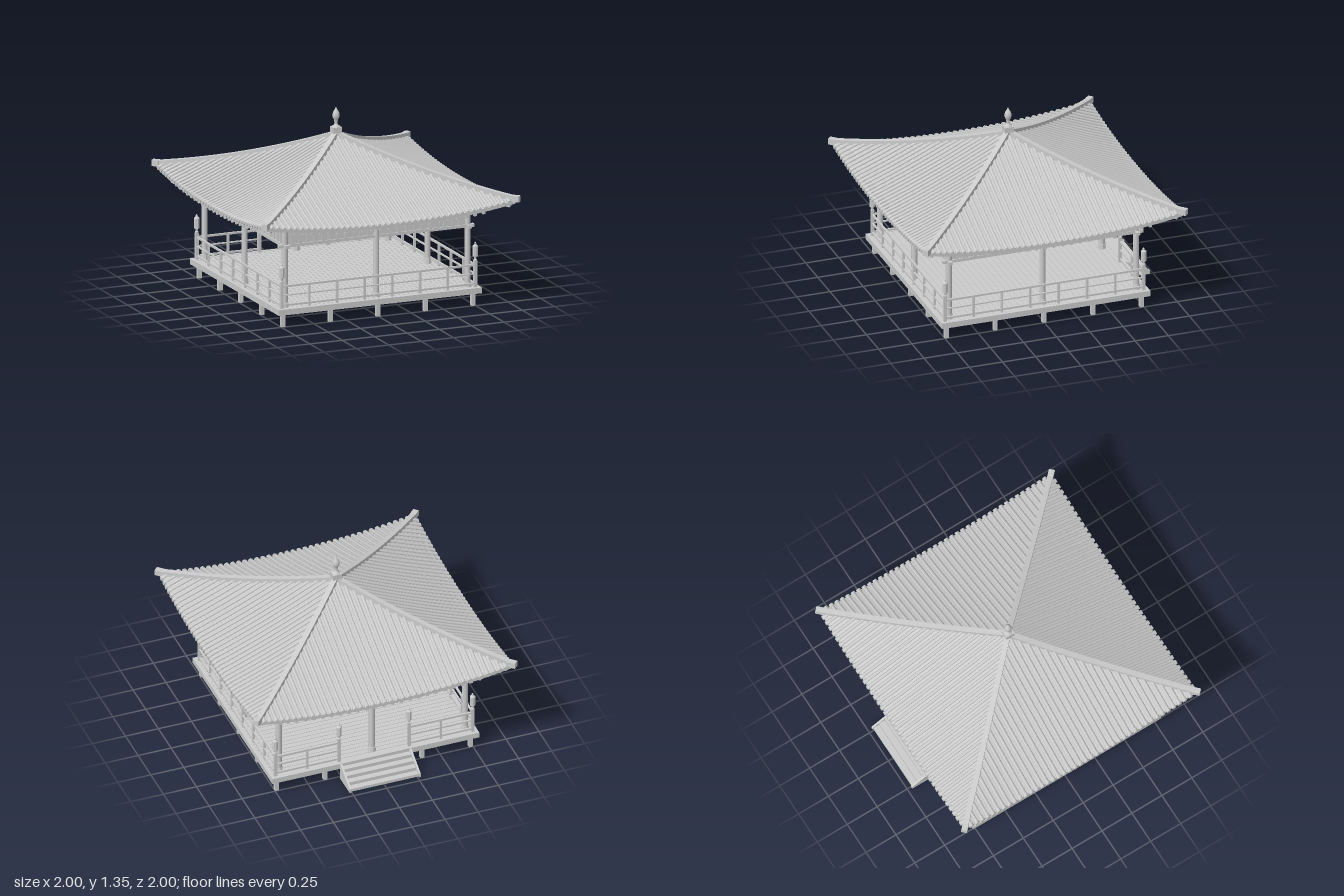
import * as THREE from 'three';
import { mergeGeometries } from 'three/addons/utils/BufferGeometryUtils.js';

const mat = new THREE.MeshStandardMaterial({ color: 0xcccccc });
const flat = new THREE.MeshStandardMaterial({ color: 0xcccccc, flatShading: true });
const EAVE = 0.965, WALL = 0.706, RAIL = 0.748, DECK = 0.135;

// Roof height at t (0 apex, 1 eave) and u (0 middle of a side, 1 hip)
const roofY = (t, u) => 1.15 - 0.5 * t + 0.15 * t * t - 0.075 * t * t * (1 - Math.pow(Math.min(1, Math.abs(u)), 2.2));

// Moves every vertex by a rule
function bend(geo, rule) {
  const p = geo.attributes.position, v = new THREE.Vector3();
  for (let i = 0; i < p.count; i++) {
    rule(v.fromBufferAttribute(p, i));
    p.setXYZ(i, v.x, v.y, v.z);
  }
  geo.computeVertexNormals();
  return geo;
}

const box = (w, h, d, x, y, z) => new THREE.BoxGeometry(w, h, d).translate(x, y, z);
const span = (w, y0, y1, d, x, z) => box(w, y1 - y0, d, x, (y0 + y1) / 2, z);
const cyl = (r0, r1, y0, y1, n, x, z) =>
  new THREE.CylinderGeometry(r1, r0, y1 - y0, n).translate(x, (y0 + y1) / 2, z);
const lathe = (pts, n) => new THREE.LatheGeometry(pts.map(([r, y]) => new THREE.Vector2(r, y)), n);

function add(parent, name, geos, material = mat) {
  const mesh = new THREE.Mesh(Array.isArray(geos) ? mergeGeometries(geos) : geos, material);
  mesh.name = name;
  parent.add(mesh);
  return mesh;
}

// A bar lying on one roof side at constant x, from t0 to t1
function roofBar(geo, x0, t0, t1, lift) {
  return bend(geo, v => {
    const t = t0 + (v.z + 0.5) * (t1 - t0);
    v.set(x0 + v.x, v.y + lift + roofY(t, x0 / (t * EAVE)), t * EAVE);
  });
}

function roofSide() {
  const side = new THREE.Group();
  side.name = 'roofSide';
  add(side, 'roofPanel', bend(new THREE.BoxGeometry(2, 0.025, 1, 28, 1, 16), v => {
    const t = v.z + 0.5;
    v.set(v.x * t * EAVE, v.y - 0.012 + roofY(t, v.x), t * EAVE);
  }));
  // Round tile rows with end caps
  const tiles = [], rafters = [];
  for (let k = -20; k <= 20; k++) {
    const x = k * 0.0457, t0 = Math.max(0.02, Math.abs(x) / EAVE);
    tiles.push(roofBar(new THREE.CylinderGeometry(0.013, 0.013, 1, 8, 10).rotateX(Math.PI / 2), x, t0, 1, 0.004));
    tiles.push(roofBar(new THREE.CylinderGeometry(0.017, 0.017, 1, 8).rotateX(Math.PI / 2), x, 0.985, 1.012, 0.002));
  }
  add(side, 'tileRows', tiles);
  // Rafters under the eave
  for (let k = -11; k <= 11; k++)
    rafters.push(roofBar(new THREE.BoxGeometry(0.022, 0.028, 1, 1, 1, 4), k * 0.066, 0.73, 0.985, -0.037));
  add(side, 'rafters', rafters);
  // Hip ridge on the corner, with an end block
  const hip = new THREE.Group();
  hip.name = 'hip';
  hip.rotation.y = Math.PI / 4;
  side.add(hip);
  const along = EAVE * Math.SQRT2;
  add(hip, 'hipRidge', bend(new THREE.BoxGeometry(0.038, 0.036, 1, 1, 1, 18), v => {
    const t = v.z + 0.5;
    v.set(v.x, v.y + 0.012 + roofY(t, 1), t * along);
  }));
  add(hip, 'hipEnd', box(0.042, 0.044, 0.056, 0, 0.812, along + 0.002));
  add(hip, 'hipRafter', bend(new THREE.BoxGeometry(0.04, 0.035, 1, 1, 1, 6), v => {
    const t = 0.7 + (v.z + 0.5) * 0.27;
    v.set(v.x, v.y - 0.04 + roofY(t, 1), t * along);
  }));
  return side;
}

// Columns, beams and slatted frieze of one side
function wallSide() {
  const wall = new THREE.Group();
  wall.name = 'wallSide';
  for (const x of [-WALL, 0]) {
    add(wall, 'column', cyl(0.022, 0.022, DECK, 0.71, 16, x, WALL));
    add(wall, 'columnBase', cyl(0.031, 0.027, DECK, 0.172, 8, x, WALL), flat);
    add(wall, 'columnCapital', span(0.064, 0.69, 0.722, 0.064, x, WALL));
  }
  add(wall, 'lowerBeam', span(1.51, 0.57, 0.592, 0.03, 0, WALL));
  add(wall, 'upperBeam', span(1.51, 0.708, 0.73, 0.045, 0, WALL));
  add(wall, 'friezePanel', span(1.41, 0.59, 0.71, 0.008, 0, WALL));
  const slats = [];
  for (let k = -11; k <= 11; k++) slats.push(span(0.025, 0.59, 0.71, 0.022, k * 0.059, WALL));
  add(wall, 'friezeSlats', slats);
  return wall;
}

// Post topped by a small lantern
function lanternPost(parent, x, z) {
  const g = new THREE.Group();
  g.name = 'lanternPost';
  g.position.set(x, 0, z);
  add(g, 'post', span(0.022, DECK, 0.33, 0.022, 0, 0));
  add(g, 'lantern', lathe([[0, 0.325], [0.013, 0.33], [0.013, 0.338], [0.008, 0.342], [0.011, 0.358], [0.02, 0.362],
    [0.021, 0.436], [0.014, 0.444], [0.007, 0.45], [0.008, 0.458], [0, 0.468]], 8), flat);
  parent.add(g);
}

// Railing of one side; the open one leaves room for the stairs
function railSide(open) {
  const bars = [], rail = new THREE.Group();
  rail.name = 'railing';
  const runs = open ? [[-RAIL, -0.265], [0.265, RAIL]] : [[-RAIL, RAIL]];
  for (const [a, b] of runs) {
    for (const [y, h] of [[0.298, 0.014], [0.232, 0.009], [0.16, 0.014]])
      bars.push(box(b - a, h, 0.014, (a + b) / 2, y, RAIL));
    const n = open ? 2 : 7;
    for (let i = 1; i < n; i++) bars.push(span(0.015, DECK, 0.295, 0.015, a + (b - a) * i / n, RAIL));
  }
  add(rail, 'railBars', bars);
  lanternPost(rail, -RAIL, RAIL);
  if (open) for (const s of [-1, 1]) lanternPost(rail, s * 0.265, RAIL);
  return rail;
}

function stairs() {
  const g = new THREE.Group();
  g.name = 'stairs';
  const side = new THREE.Shape([[0.78, 0.008], [0.97, 0.008], [0.97, 0.038], [0.78, DECK]].map(p => new THREE.Vector2(...p)));
  for (const x of [-0.27, 0.255]) {
    const geo = new THREE.ExtrudeGeometry(side, { depth: 0.015, bevelEnabled: false });
    add(g, 'stairSide', geo.rotateY(-Math.PI / 2).translate(x + 0.015, 0, 0));
  }
  for (let i = 0; i < 4; i++)
    add(g, 'step', span(0.51, 0.012, 0.112 - i * 0.026, 0.046, 0, 0.803 + i * 0.046));
  g.rotation.y = Math.PI;
  return g;
}

export function createModel() {
  const model = new THREE.Group();
  model.name = 'pavilion';

  // Deck: planks, joists, edge frame and short stilts
  const planks = [], joists = [], stilts = [];
  for (let i = 0; i < 36; i++) planks.push(span(1.53, 0.112, DECK - 0.001, 0.0385, 0, (i - 17.5) * 0.0425));
  add(model, 'deckPlanks', planks);
  add(model, 'deckCore', span(1.53, 0.115, 0.13, 1.53, 0, 0));
  for (let i = -2; i <= 2; i++) {
    joists.push(span(1.53, 0.096, 0.116, 0.03, 0, i * 0.3675));
    for (let j = -2; j <= 2; j++) stilts.push(span(0.03, 0, 0.1, 0.03, i * 0.3675, j * 0.3675));
  }
  add(model, 'joists', joists);
  add(model, 'stilts', stilts);

  for (let i = 0; i < 4; i++) {
    const quarter = new THREE.Group();
    quarter.name = 'side';
    quarter.rotation.y = i * Math.PI / 2;
    add(quarter, 'deckEdge', span(1.57, 0.095, DECK + 0.002, 0.025, 0, 0.7725));
    quarter.add(roofSide(), wallSide(), railSide(i === 2));
    model.add(quarter);
  }
  model.add(stairs());

  // Coffered ceiling
  add(model, 'ceiling', span(1.41, 0.705, 0.715, 1.41, 0, 0));
  const grid = [];
  for (let i = -3; i <= 3; i++)
    grid.push(span(1.41, 0.685, 0.706, 0.018, 0, i * 0.19), span(0.018, 0.685, 0.706, 1.41, i * 0.19, 0));
  add(model, 'ceilingGrid', grid);

  // Hanging lantern in the middle
  add(model, 'hangingLantern', lathe([[0, 0.455], [0.036, 0.458], [0.042, 0.47], [0.058, 0.492], [0.064, 0.515],
    [0.067, 0.57], [0.06, 0.61], [0.035, 0.635], [0.01, 0.645], [0.01, 0.7]], 12), flat);

  // Roof crown and finial
  add(model, 'crownBlock', span(0.066, 1.13, 1.208, 0.066, 0, 0));
  add(model, 'finial', lathe([[0.03, 1.205], [0.028, 1.215], [0.014, 1.222], [0.011, 1.24], [0.015, 1.25], [0.012, 1.256],
    [0.022, 1.272], [0.027, 1.292], [0.022, 1.314], [0.01, 1.334], [0, 1.354]], 20));
  return model;
}
